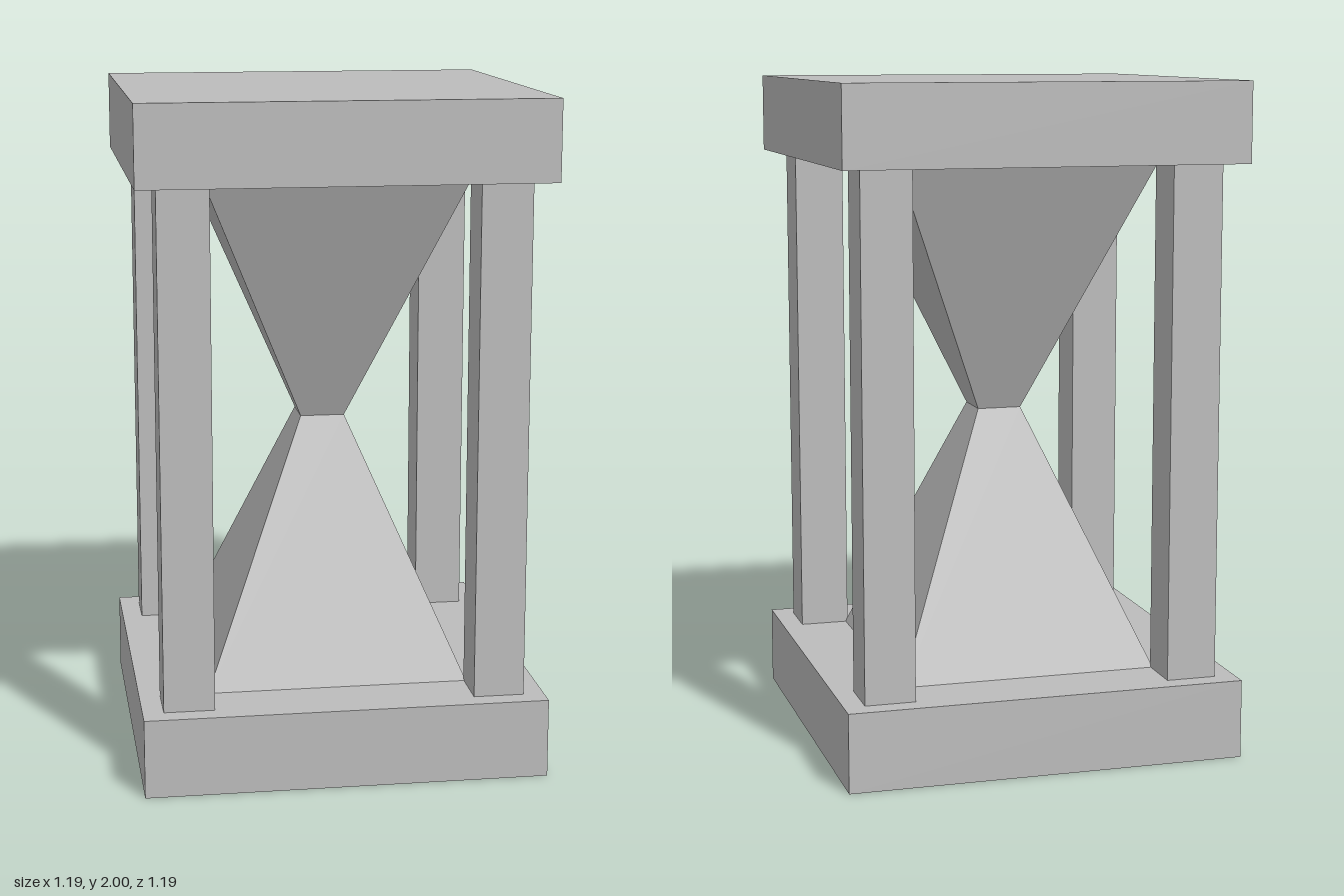
import * as THREE from 'three';

export function createModel() {
  const model = new THREE.Group();
  model.name = 'hourglass';
  const stone = new THREE.MeshStandardMaterial({ color: 0xbcbcbc, flatShading: true });
  stone.name = 'grey stone';

  const add = (name, geometry, x, y, z) => {
    const mesh = new THREE.Mesh(geometry, stone);
    mesh.name = name;
    mesh.position.set(x, y, z);
    model.add(mesh);
  };

  const half = 0.597, plate = 0.236, middle = 1;
  const bulbHeight = middle - plate;

  // Square end plates
  const plateGeometry = new THREE.BoxGeometry(half * 2, plate, half * 2);
  add('bottomPlate', plateGeometry, 0, plate / 2, 0);
  add('topPlate', plateGeometry, 0, 2 - plate / 2, 0);

  // Corner posts
  const postGeometry = new THREE.BoxGeometry(0.15, bulbHeight * 2, 0.15);
  for (const [side, x] of [['left', 0.46], ['right', -0.46]]) {
    add(side + 'FrontPost', postGeometry, x, middle, 0.46);
    add(side + 'BackPost', postGeometry, x, middle, -0.46);
  }

  // Two four-sided bulbs meeting at the narrow neck
  const bulb = (topHalf, bottomHalf) =>
    new THREE.CylinderGeometry(topHalf * Math.SQRT2, bottomHalf * Math.SQRT2, bulbHeight, 4)
      .rotateY(Math.PI / 4);
  add('lowerBulb', bulb(0.067, 0.391), 0, plate + bulbHeight / 2, 0);
  add('upperBulb', bulb(0.391, 0.067), 0, middle + bulbHeight / 2, 0);

  return model;
}
